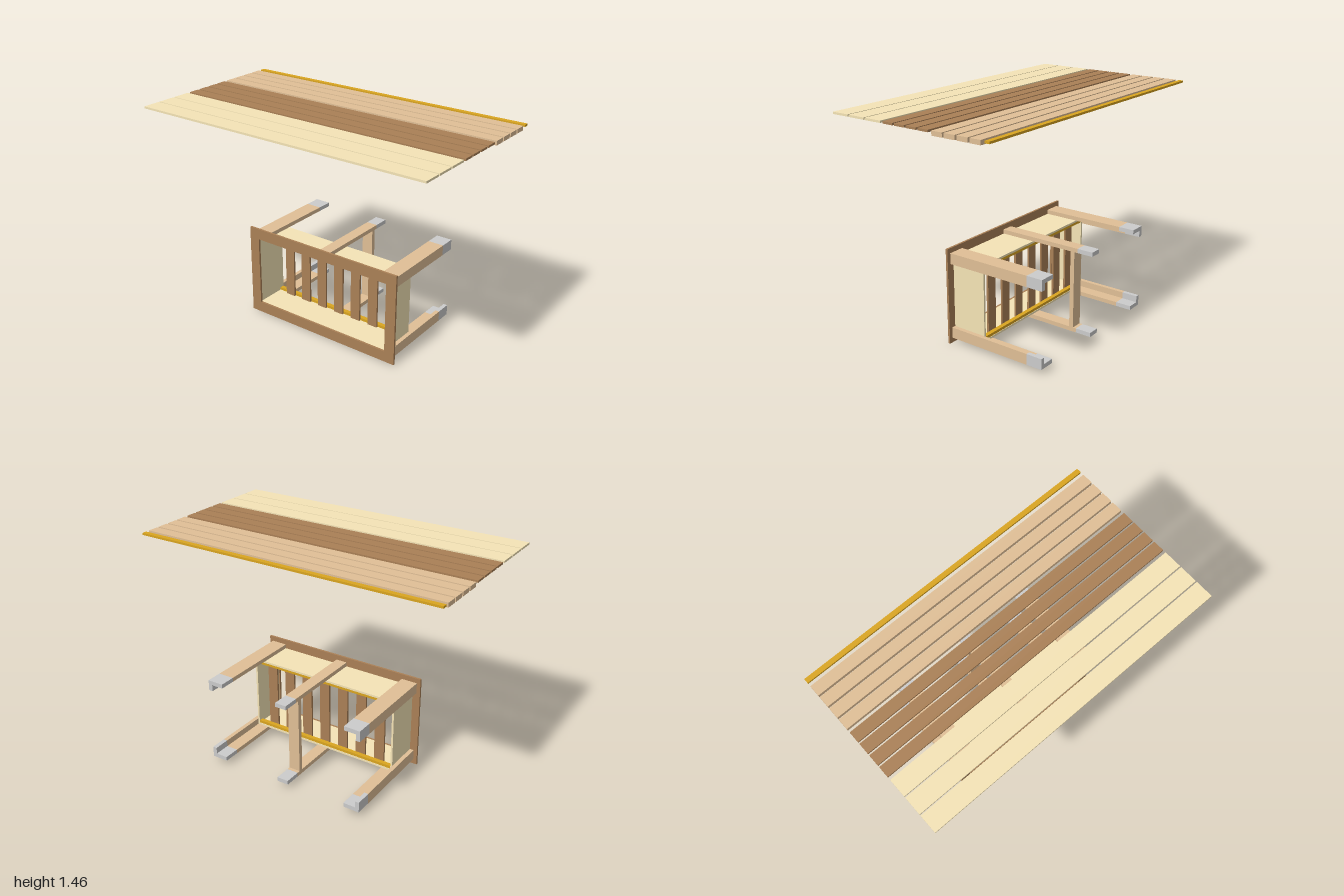
import * as THREE from 'three';

export function createModel() {
  const model = new THREE.Group();
  const mat = (color) => new THREE.MeshStandardMaterial({ color });
  const light = mat(0xf5e4b6), tan = mat(0xe0bf96), brown = mat(0xaa8056);
  const gold = mat(0xdaa520), grey = mat(0xcccccc);

  // Board given by its two limits along each axis
  function board(name, material, [x0, x1], [y0, y1], [z0, z1], parent = model) {
    const mesh = new THREE.Mesh(new THREE.BoxGeometry(x1 - x0, y1 - y0, z1 - z0), material);
    mesh.position.set((x0 + x1) / 2, (y0 + y1) / 2, (z0 + z1) / 2);
    mesh.name = name;
    parent.add(mesh);
  }

  // Rows of loose planks lying flat above: count, front edge, width, pitch, underside
  const planks = new THREE.Group();
  planks.name = 'plankLayout';
  model.add(planks);
  const rows = [
    ['widePlank', light, 3, 0.552, 0.116, 0.124, 1.443],
    ['slatPlank', brown, 4, 0.168, 0.071, 0.0832, 1.443],
    ['legPlank', tan, 4, -0.176, 0.071, 0.0832, 1.429],
    ['cleatPlank', gold, 1, -0.52, 0.031, 0, 1.443],
  ];
  for (const [name, material, count, front, width, pitch, bottom] of rows) {
    for (let i = 0; i < count; i++) {
      const z = front - i * pitch;
      board(name, material, [-1, 1], [bottom, 1.456], [z - width, z], planks);
    }
  }

  // The window box is symmetric about this centre
  const cx = 0.011, cy = 0.3085;
  const xs = (side, a, b) => [cx + side * a, cx + side * b].sort((p, q) => p - q);
  const ys = (side, a, b) => [cy + side * a, cy + side * b].sort((p, q) => p - q);
  const boxZ = [-0.113, 0.117];

  for (const s of [-1, 1]) {
    // Front frame
    board('frameRail', brown, [cx - 0.572, cx + 0.572], ys(s, 0.236, 0.3085), [0.117, 0.131]);
    board('frameStile', brown, xs(s, 0.501, 0.572), [cy - 0.236, cy + 0.236], [0.117, 0.131]);
    // Box boards
    board('boxPanel', light, [cx - 0.521, cx + 0.521], ys(s, 0.236, 0.249), boxZ);
    board('boxSide', light, xs(s, 0.508, 0.521), [cy - 0.236, cy + 0.236], boxZ);
    // Cleats that hold the slats
    board('cleat', gold, [cx - 0.508, cx + 0.508], ys(s, 0.218, 0.236), [-0.11, -0.082]);
  }

  // Slats across the back of the box
  for (let i = -3; i <= 3; i++) {
    const x = cx + i * 0.1355;
    board('slat', brown, [x - 0.035, x + 0.035], [cy - 0.236, cy + 0.236], [-0.082, -0.069]);
  }

  // Arms reaching backward, each with a grey end section
  const sections = [['arm', tan, [-0.445, 0.117]], ['armEnd', grey, [-0.55, -0.445]]];
  for (const [name, material, z] of sections) {
    for (const sy of [-1, 1]) {
      board(name + 'Middle', material, [cx - 0.038, cx + 0.038], ys(sy, 0.25, 0.277), z);
      for (const sx of [-1, 1]) {
        // Corner arms have an L section: a flat board and an upright outer board
        board(name + 'Flat', material, xs(sx, 0.442, 0.521), ys(sy, 0.25, 0.277), z);
        board(name + 'Upright', material, xs(sx, 0.521, 0.548), ys(sy, 0.208, 0.277), z);
      }
    }
  }

  // Post between the middle arms
  board('post', tan, [cx - 0.038, cx + 0.038], [cy - 0.25, cy + 0.25], [-0.423, -0.395]);

  return model;
}
